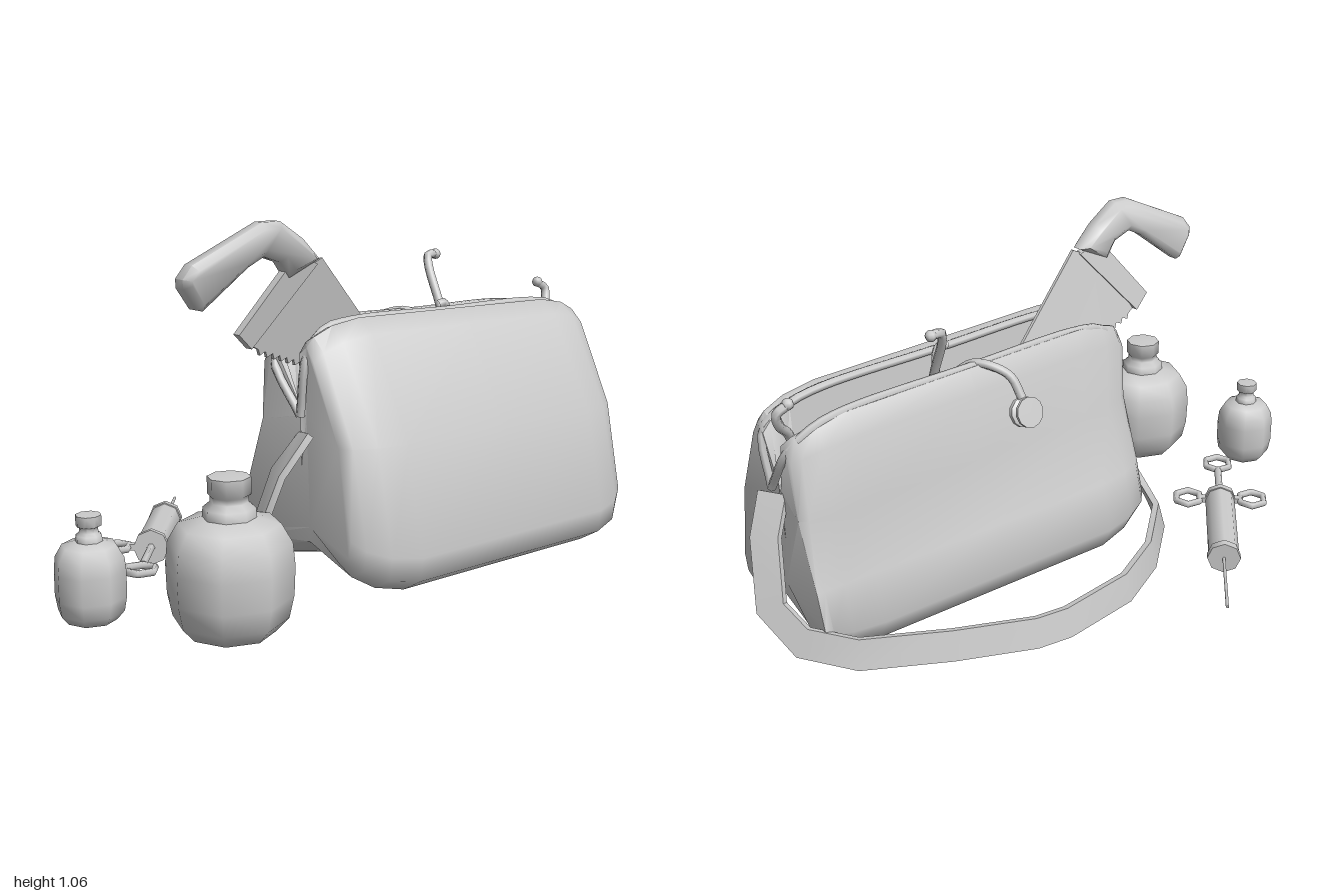
import * as THREE from 'three';
import { toCreasedNormals } from 'three/addons/utils/BufferGeometryUtils.js';

const grey = new THREE.MeshStandardMaterial({ color: 0xcccccc });
const V = (x, y, z) => new THREE.Vector3(x, y, z);
const V2 = p => new THREE.Vector2(...p);

function add(parent, name, geo, x = 0, y = 0, z = 0) {
  const m = new THREE.Mesh(geo, grey);
  m.name = name;
  m.position.set(x, y, z);
  parent.add(m);
  return m;
}

// Skin a series of equal-length closed rings; capTris closes both ends
function loft(rings, capTris, crease) {
  const n = rings[0].length, idx = [], last = (rings.length - 1) * n;
  for (let s = 0; s < rings.length - 1; s++) {
    for (let i = 0; i < n; i++) {
      const a = s * n + i, b = s * n + (i + 1) % n;
      idx.push(a, a + n, b + n, a, b + n, b);
    }
  }
  for (const [a, b, c] of capTris) idx.push(a, b, c, last + a, last + c, last + b);
  const g = new THREE.BufferGeometry().setFromPoints(rings.flat());
  g.setIndex(idx);
  return toCreasedNormals(g, crease);
}

function tube(parent, name, pts, r, segs = 24) {
  const curve = new THREE.CatmullRomCurve3(pts.map(p => V(...p)), false, 'centripetal');
  return add(parent, name, new THREE.TubeGeometry(curve, segs, r, 6));
}

// Bag cross-sections as [z, y]: full size in the middle, shrunken at the ends
const MID = [[0.25, 0.06], [0.455, 0], [0.52, 0.04], [0.53, 0.11], [0.465, 0.42], [0.32, 0.71],
  [0.265, 0.75], [0.225, 0.735], [0.185, 0.1], [0.165, 0.1], [0.1, 0.715], [0.075, 0.725],
  [0.04, 0.66], [0.03, 0.45], [-0.06, 0.25], [-0.095, 0.1], [-0.06, 0.03], [0.01, 0]];
const END = [[0.24, 0.16], [0.39, 0.1], [0.43, 0.12], [0.44, 0.17], [0.39, 0.42], [0.29, 0.64],
  [0.26, 0.68], [0.23, 0.66], [0.225, 0.48], [0.215, 0.48], [0.13, 0.66], [0.11, 0.66],
  [0.08, 0.62], [0.07, 0.45], [0, 0.25], [-0.03, 0.14], [0, 0.11], [0.05, 0.1]];

function makeBag() {
  const bag = new THREE.Group();
  bag.name = 'bag';
  const stations = [[-0.29, 1], [-0.265, 0.6], [-0.2, 0.22], [-0.1, 0], [0.3, 0],
    [0.7, 0], [0.8, 0.22], [0.86, 0.6], [0.885, 1]];
  const rings = stations.map(([x, t]) => MID.map(([z, y], i) => {
    // The gusset is pinched inward along the fold
    const pinch = t === 1 && (i === 0 || i === 8 || i === 9) ? 0.03 * Math.sign(0.3 - x) : 0;
    // The lower back tapers toward the left end
    const taper = i > 13 ? 0.06 * Math.max(0, x + 0.1) * (1 - t) : 0;
    return V(x + pinch, y + (END[i][1] - y) * t + 0.03 * (0.68 - x), z + (END[i][0] - z) * t + taper);
  }));
  const tris = THREE.ShapeUtils.triangulateShape(END.map(V2), []);
  add(bag, 'bagBody', loft(rings, tris, 1.1));

  // Hinged frame rails around the mouth
  for (const [name, z, top] of [['frontFrame', 0.228, 0.74], ['backFrame', 0.09, 0.722]]) {
    tube(bag, name, [[-0.28, 0.51, 0.222], [-0.28, top - 0.06, z + 0.02], [-0.2, top + 0.005, z],
      [-0.1, top + 0.02, z], [0.3, top + 0.01, z], [0.7, top, z],
      [0.8, top - 0.02, z], [0.875, top - 0.08, z + 0.02], [0.88, 0.485, 0.222]], 0.013, 40);
  }
  return bag;
}

// Flat shoulder strap trailing on the ground behind the bag
function makeStrap() {
  const pts = [[0.87, 0.46, 0.235], [0.925, 0.35, 0.2], [0.965, 0.17, 0.125], [0.93, 0.095, 0.02],
    [0.83, 0.083, -0.11], [0.6, 0.08, -0.235], [0.38, 0.08, -0.335], [0.28, 0.08, -0.35],
    [0.03, 0.08, -0.32], [-0.15, 0.08, -0.23], [-0.33, 0.083, -0.07], [-0.385, 0.1, 0.05],
    [-0.4, 0.18, 0.17], [-0.36, 0.36, 0.22], [-0.275, 0.46, 0.24]].map(p => V(...p));
  const rings = pts.map((p, i) => {
    const t = pts[Math.min(i + 1, pts.length - 1)].clone().sub(pts[Math.max(i - 1, 0)]).normalize();
    // Outer face turns backward at the sides and leans up along the ground
    const out = V((p.x - 0.29) * 0.7, 0.16, p.z - 0.45).normalize();
    const w = t.clone().cross(out).normalize();
    const o = w.clone().cross(t).normalize();
    return [[1, 1], [-1, 1], [-1, -1], [1, -1]].map(([a, b]) =>
      p.clone().addScaledVector(w, a * 0.046).addScaledVector(o, b * 0.01));
  });
  const g = new THREE.Group();
  g.name = 'shoulderStrap';
  add(g, 'strap', loft(rings, [[0, 1, 2], [0, 2, 3]], 0.6));
  return g;
}

// Extruded slab in the front plane, leaning with height
function slab(parent, name, pts, depth, bevel = 0) {
  const g = new THREE.ExtrudeGeometry(new THREE.Shape(pts.map(V2)), {
    depth: depth - 2 * bevel, bevelEnabled: bevel > 0, bevelSize: bevel, bevelThickness: bevel,
    bevelOffset: -bevel, bevelSegments: 1 });
  const p = g.attributes.position;
  for (let i = 0; i < p.count; i++) {
    p.setZ(i, p.getZ(i) - depth / 2 + bevel + 0.2 + 0.2 * (p.getY(i) - 0.85));
  }
  add(parent, name, toCreasedNormals(g, 0.9));
}

function makeSaw() {
  const saw = new THREE.Group();
  saw.name = 'saw';
  slab(saw, 'sawGrip', [[-0.68, 0.925], [-0.675, 0.9], [-0.625, 0.84], [-0.605, 0.835], [-0.47, 0.94],
    [-0.42, 0.965], [-0.36, 0.945], [-0.32, 0.9], [-0.22, 0.945], [-0.29, 1.005], [-0.38, 1.058],
    [-0.44, 1.058], [-0.655, 0.96]], 0.068, 0.018);
  slab(saw, 'sawGuard', [[-0.47, 0.755], [-0.42, 0.71], [-0.22, 0.93], [-0.3, 0.96]], 0.026);
  // Blade with a toothed lower edge
  const edge = [[0.22, 0.53], [-0.2, 0.945], [-0.3, 0.9], [-0.41, 0.715]];
  const teeth = 22;
  for (let i = 0; i < teeth; i++) {
    const x = -0.39 + 0.59 * i / teeth, y = 0.705 - 0.2 * i / teeth;
    edge.push([x, y], [x + 0.008, y - 0.018]);
  }
  slab(saw, 'sawBlade', edge, 0.01);
  return saw;
}

function makeStethoscope() {
  const s = new THREE.Group();
  s.name = 'stethoscope';
  // Two ear tubes with small tips
  tube(s, 'earTube', [[0.37, 0.5, 0.21], [0.39, 0.72, 0.125], [0.405, 0.86, 0.05], [0.42, 0.893, 0.033], [0.455, 0.893, 0.03]], 0.014);
  tube(s, 'earTube', [[0.79, 0.5, 0.215], [0.84, 0.66, 0.165], [0.88, 0.71, 0.135], [0.893, 0.755, 0.12], [0.86, 0.775, 0.115]], 0.014);
  add(s, 'earTip', new THREE.SphereGeometry(0.017, 8, 6), 0.455, 0.893, 0.03);
  add(s, 'earTip', new THREE.SphereGeometry(0.017, 8, 6), 0.86, 0.777, 0.115);
  // Loop of hose over the mouth and hose down to the chest piece
  tube(s, 'hoseLoop', [[0.34, 0.55, 0.17], [0.33, 0.74, 0.2], [0.31, 0.77, 0.205], [0.29, 0.765, 0.2]], 0.014);
  tube(s, 'hose', [[0.32, 0.55, 0.18], [0.31, 0.68, 0.15], [0.27, 0.735, 0.1], [0.23, 0.73, 0.05],
    [0.195, 0.7, 0.015], [0.18, 0.64, -0.015]], 0.014);
  const profile = [[0, -0.028], [0.035, -0.028], [0.046, -0.015], [0.046, -0.002], [0.034, 0.004],
    [0.034, 0.014], [0.046, 0.018], [0.046, 0.028], [0, 0.028]];
  const chest = add(s, 'chestPiece',
    toCreasedNormals(new THREE.LatheGeometry(profile.map(V2), 12), 0.6), 0.18, 0.6, -0.03);
  chest.rotation.x = -1.25;
  return s;
}

// Eight-sided stoppered bottle turned from a [radius, height] profile
function makeBottle(name, x, z, profile) {
  const group = new THREE.Group();
  group.name = name;
  add(group, name + 'Glass', toCreasedNormals(new THREE.LatheGeometry(profile.map(V2), 8), 1.1), x, 0, z);
  return group;
}

// Syringe built along +x from the thumb ring
function makeSyringe() {
  const s = new THREE.Group();
  s.name = 'syringe';
  const rod = (name, r, from, to, sides) =>
    add(s, name, new THREE.CylinderGeometry(r, r, to - from, sides).rotateZ(-Math.PI / 2), (from + to) / 2);
  rod('plungerRod', 0.012, 0.045, 0.25, 6);
  rod('barrel', 0.048, 0.23, 0.56, 8);
  rod('barrelFlange', 0.052, 0.22, 0.24, 8);
  rod('barrelTip', 0.052, 0.55, 0.575, 8);
  rod('needle', 0.005, 0.57, 0.825, 5);
  add(s, 'fingerBar', new THREE.BoxGeometry(0.022, 0.018, 0.14), 0.23, 0, 0);
  for (const [x, z] of [[0, 0], [0.225, 0.105], [0.225, -0.105]]) {
    add(s, 'fingerRing', new THREE.TorusGeometry(0.044, 0.011, 6, 6).rotateX(Math.PI / 2), x, 0, z);
  }
  s.position.set(-0.695, 0.11, 0.03);
  s.rotation.set(0, 0.83, -0.045);
  return s;
}

export function createModel() {
  const model = new THREE.Group();
  model.name = 'medicalBag';
  model.add(makeBag(), makeStrap(), makeSaw(), makeStethoscope(), makeSyringe());
  model.add(makeBottle('largeBottle', -0.68, 0.41, [[0, 0.04], [0.115, 0.042], [0.15, 0.08], [0.163, 0.14],
    [0.166, 0.22], [0.16, 0.28], [0.132, 0.328], [0.07, 0.345], [0.068, 0.37], [0.05, 0.385], [0.05, 0.4],
    [0.056, 0.405], [0.056, 0.45], [0, 0.455]]));
  model.add(makeBottle('smallBottle', -0.905, 0.11, [[0, 0.045], [0.068, 0.046], [0.088, 0.07], [0.095, 0.11],
    [0.095, 0.18], [0.091, 0.215], [0.072, 0.248], [0.036, 0.258], [0.034, 0.275], [0.025, 0.282],
    [0.025, 0.295], [0.034, 0.3], [0.034, 0.328], [0, 0.33]]));
  return model;
}
